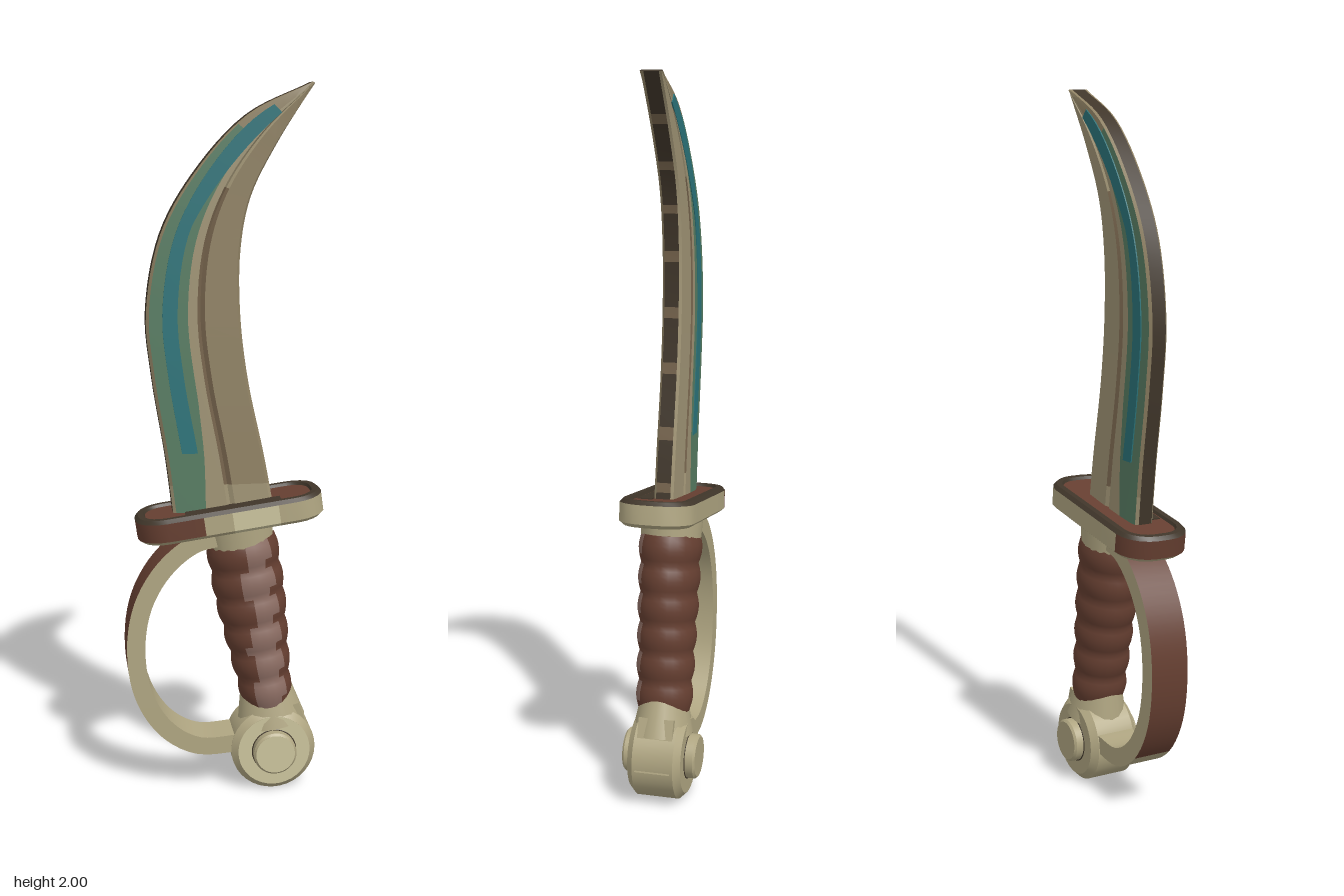
import * as THREE from 'three';
import { toCreasedNormals } from 'three/addons/utils/BufferGeometryUtils.js';

const mat = (name, color) => Object.assign(new THREE.MeshStandardMaterial({ color }), { name });
const M = {
  steel: mat('bladeTan', 0xa09475),
  shade: mat('bladeBevelTan', 0x908264),
  green: mat('patinaGreen', 0x587d63),
  teal: mat('inlayTeal', 0x2c747a),
  groove: mat('grooveBrown', 0x75634c),
  dark: mat('darkEdge', 0x40362a),
  pale: mat('paleMetal', 0xb0a682),
  light: mat('brightMetal', 0xcbc49d),
  brown: mat('leatherBrown', 0x663f31),
  rose: mat('wornLeather', 0x8c6d63),
};

function mesh(name, geo, material) {
  const m = new THREE.Mesh(geo, material);
  m.name = name;
  return m;
}

// Skin closed rings (counter-clockwise about the direction of travel).
// pick(i, j) gives the material of each quad; both ends are capped.
function loft(name, rings, pick, startMat, endMat, crease = 0.6) {
  const faces = new Map();
  const add = (m, ...pts) => {
    if (!faces.has(m)) faces.set(m, []);
    pts.forEach((p) => faces.get(m).push(p.x, p.y, p.z));
  };
  const n = rings[0].length;
  for (let i = 0; i < rings.length - 1; i++) {
    for (let j = 0; j < n; j++) {
      const k = (j + 1) % n;
      const [a, b, c, d] = [rings[i][j], rings[i][k], rings[i + 1][k], rings[i + 1][j]];
      add(pick(i, j), a, b, d, b, c, d);
    }
  }
  const cap = (ring, m, flip) => {
    const mid = ring.reduce((s, p) => s.add(p), new THREE.Vector3()).divideScalar(n);
    ring.forEach((p, j) => {
      const q = ring[(j + 1) % n];
      if (flip) add(m, mid, q, p);
      else add(m, mid, p, q);
    });
  };
  cap(rings[0], startMat, true);
  cap(rings[rings.length - 1], endMat, false);
  const geo = new THREE.BufferGeometry();
  const all = [];
  const mats = [];
  for (const [m, arr] of faces) {
    geo.addGroup(all.length / 3, arr.length / 3, mats.length);
    mats.push(m);
    for (const v of arr) all.push(v);
  }
  geo.setAttribute('position', new THREE.Float32BufferAttribute(all, 3));
  return mesh(name, toCreasedNormals(geo, crease), mats);
}

const V = (x, y, z = 0) => new THREE.Vector3(x, y, z);
const curve = (pts) => new THREE.CatmullRomCurve3(pts.map(([x, y]) => V(x, y)));

// Curved blade: bands run across it from the spine (0) to the inner edge (1)
function makeBlade() {
  const g = new THREE.Group();
  g.name = 'blade';
  const spine = curve([[-0.145, 0.83], [-0.165, 0.99], [-0.2, 1.21], [-0.215, 1.39],
    [-0.175, 1.6], [-0.085, 1.76], [0.06, 1.915], [0.235, 2.0]]);
  const inner = curve([[0.14, 0.83], [0.11, 0.99], [0.065, 1.2], [0.043, 1.38],
    [0.043, 1.56], [0.07, 1.7], [0.14, 1.84], [0.24, 1.996]]);
  const section = (t, fr, zs) => {
    const a = spine.getPoint(t);
    const b = inner.getPoint(t);
    const front = fr.map((f, i) => a.clone().lerp(b, f).setZ(zs[i]));
    return [...front, ...front.map((p) => V(p.x, p.y, -p.z)).reverse()];
  };
  const steps = 42;
  const zs = [0.02, 0.027, 0.03, 0.03, 0.024, 0.03, 0.027, 0.02];
  const rings = [];
  for (let i = 0; i <= steps; i++) {
    const t = i / steps;
    const greenEdge = 0.32 + 0.12 * Math.min(1, t * 4);
    rings.push(section(t, [0, 0.03, greenEdge, 0.54, 0.575, 0.62, 0.97, 1], zs));
  }
  const bands = [M.shade, M.green, M.steel, M.groove, M.groove, M.shade, M.shade];
  g.add(loft('bladeBody', rings, (i, j) => {
    if (j === 7) return i % 5 === 2 ? M.groove : M.dark;
    if (j === 15) return M.dark;
    const band = bands[j < 7 ? j : 14 - j];
    const t = i / steps;
    if (band === M.green && t > 0.82) return M.shade;
    if (band === M.groove && (t < 0.07 || t > 0.7)) return M.steel;
    if (band === M.shade && (t < 0.07 || j === 8 || j === 9)) return M.steel;
    return band;
  }, M.dark, M.dark, 0.2));

  // Inlaid stripe on both faces
  const stripe = [];
  for (let i = 0; i <= 30; i++) {
    const t = 0.15 + 0.76 * (i / 30);
    const widen = Math.max(0, (t - 0.6) / 0.32);
    const w = 0.08 + 0.12 * widen;
    const mid = 0.25 + 0.12 * widen;
    stripe.push(section(t, [mid - w, mid + w], [0.0315, 0.0315]));
  }
  g.add(loft('inlayStripe', stripe, () => M.teal, M.teal, M.teal));
  return g;
}

// Rounded crossguard with a rim and an inset top
function makeGuard() {
  const splits = [0.13, 0, -0.08];
  const outline = (inset, y) => {
    const ring = [];
    const r = 0.085 - inset;
    for (let q = 0; q < 4; q++) {
      for (let k = 0; k <= 5; k++) {
        const a = (q + k / 5) * Math.PI / 2;
        const sx = q === 0 || q === 3 ? 1 : -1;
        const sz = q < 2 ? -1 : 1;
        ring.push(V(sx * 0.18 + r * Math.cos(a), y, sz * 0.018 - r * Math.sin(a)));
      }
      // extra points on the long sides, where the colour changes
      if (q === 0) splits.forEach((x) => ring.push(V(x, y, -0.018 - r)));
      if (q === 2) [...splits].reverse().forEach((x) => ring.push(V(x, y, 0.018 + r)));
    }
    return ring;
  };
  const rings = [outline(0.012, -0.036), outline(0, -0.026), outline(0, 0.026),
    outline(0.01, 0.036), outline(0.026, 0.036), outline(0.03, 0.028)];
  const guard = loft('guard', rings, (i, j) => {
    if (i >= 2) return M.dark;
    const mid = rings[2][j].clone().add(rings[2][(j + 1) % rings[2].length]).divideScalar(2);
    if (mid.x < (mid.z > 0 ? -0.1 : -0.17)) return i > 0 ? M.brown : M.pale;
    return mid.z > 0.1 && mid.x > 0 && mid.x < 0.13 ? M.light : M.pale;
  }, M.pale, M.brown, 0.7);
  const patch = mesh('guardStain', new THREE.BoxGeometry(0.27, 0.004, 0.04), M.dark);
  patch.position.set(0.01, 0.029, 0.046);
  const collar = mesh('guardCollar', new THREE.CylinderGeometry(0.1, 0.095, 0.07, 20), M.pale);
  collar.position.set(0.02, -0.055, 0);
  collar.scale.z = 0.88;
  const g = new THREE.Group();
  g.name = 'crossguard';
  g.add(guard, patch, collar);
  g.position.set(0.015, 0.82, 0);
  g.rotation.z = 0.14;
  return g;
}

// Wrapped grip with rounded ridges and a worn front
function makeGrip() {
  const n = 24;
  const rows = 36;
  const rings = [];
  for (let i = 0; i <= rows; i++) {
    const t = i / rows;
    const bump = 0.008 * Math.abs(Math.sin(t * Math.PI * 6));
    const rx = 0.066 + 0.03 * Math.min(1, t * 1.5) + bump;
    const rz = 0.072 + 0.009 * t + bump;
    const ring = [];
    for (let j = 0; j < n; j++) {
      const a = (j / n) * Math.PI * 2;
      ring.push(V(rx * Math.cos(a), -0.25 + 0.5 * t, -rz * Math.sin(a)));
    }
    rings.push(ring);
  }
  const grip = loft('grip', rings, (i, j) => {
    const start = (i < 14 ? 16 : 17) + (Math.floor(i / 6) % 2);
    const end = i % 6 < 2 ? 20 : 21;
    return j >= start && j < end ? M.rose : M.brown;
  }, M.brown, M.brown, 0.7);
  grip.position.set(0.088, 0.5, 0);
  grip.rotation.z = 0.16;
  return grip;
}

// Flat knuckle bow, brown on the upper part of its outer face
function makeBow() {
  const path = curve([[-0.01, 0.765], [-0.09, 0.745], [-0.175, 0.675], [-0.235, 0.57], [-0.256, 0.44],
    [-0.235, 0.3], [-0.17, 0.195], [-0.08, 0.142], [0.05, 0.145]]);
  const rings = [];
  for (let i = 0; i <= 40; i++) {
    const p = path.getPoint(i / 40);
    const t = path.getTangent(i / 40);
    const at = (u, v) => V(p.x + t.y * v * 0.026, p.y - t.x * v * 0.026, u * 0.056);
    rings.push([at(-1, -1), at(1, -1), at(1, 1), at(-1, 1)]);
  }
  return loft('knuckleBow', rings, (i, j) => (j === 2 && i < 30 ? M.brown : M.pale), M.pale, M.pale);
}

// Disc pommel with a raised boss on both sides and a neck above
function makePommel() {
  const g = new THREE.Group();
  g.name = 'pommel';
  const place = (m, z = 0) => {
    m.position.set(0.137, 0.124, z);
    g.add(m);
  };
  const disc = (name, r, h, bevel, m) => {
    const pts = [[0, -h], [r - bevel, -h], [r, bevel - h], [r, h - bevel], [r - bevel, h], [0, h]];
    const geo = new THREE.LatheGeometry(pts.map(([x, y]) => new THREE.Vector2(x, y)), 36);
    geo.rotateX(Math.PI / 2);
    place(mesh(name, toCreasedNormals(geo, 0.5), m));
  };
  disc('pommelDisc', 0.122, 0.076, 0.018, M.pale);
  disc('bossSeam', 0.065, 0.0775, 0.001, M.dark);
  disc('boss', 0.062, 0.105, 0.006, M.pale);
  // bright polish on the front
  place(mesh('pommelFace', new THREE.RingGeometry(0.065, 0.104, 36), M.light), 0.0768);
  place(mesh('bossFace', new THREE.CircleGeometry(0.056, 36), M.light), 0.1056);
  const neck = mesh('neck', new THREE.CylinderGeometry(0.074, 0.1, 0.11, 20), M.pale);
  neck.position.set(0.13, 0.245, 0);
  neck.rotation.z = 0.16;
  neck.scale.z = 0.85;
  const tab = mesh('neckTab', new THREE.BoxGeometry(0.03, 0.15, 0.1), M.pale);
  tab.position.set(0.222, 0.18, 0);
  tab.rotation.z = 0.32;
  g.add(neck, tab);
  return g;
}

export function createModel() {
  const model = new THREE.Group();
  model.name = 'curvedSword';
  model.add(makeBlade(), makeGuard(), makeGrip(), makeBow(), makePommel());
  return model;
}
